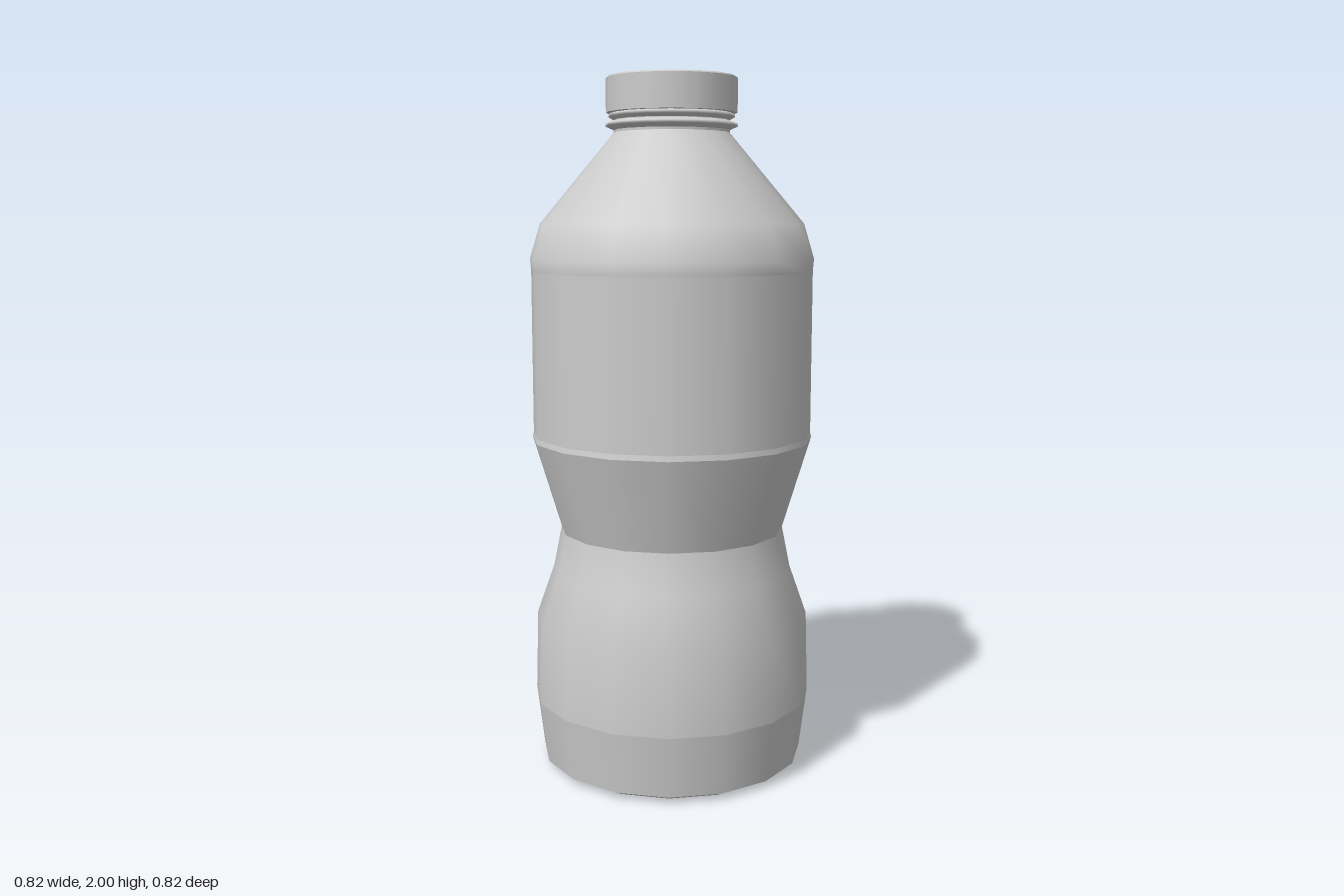
import * as THREE from 'three';

const SIDES = 16;

export function createModel() {
  const model = new THREE.Group();
  model.name = 'bottle';
  const material = new THREE.MeshStandardMaterial({ color: 0xcccccc });

  // Each section is a [radius, height] profile, smooth inside and creased where it meets the next.
  const section = (parent, name, profile) => {
    const points = profile.map(([r, y]) => new THREE.Vector2(r, y));
    const mesh = new THREE.Mesh(new THREE.LatheGeometry(points, SIDES), material);
    mesh.name = name;
    parent.add(mesh);
  };
  const group = (name) => {
    const g = new THREE.Group();
    g.name = name;
    model.add(g);
    return g;
  };

  // Body: base, pinched grip, label panel and sloping shoulder
  const body = group('body');
  section(body, 'base', [[0, 0], [0.35, 0]]);
  section(body, 'baseEdge', [[0.35, 0], [0.388, 0.02]]);
  section(body, 'foot', [[0.388, 0.02], [0.41, 0.2]]);
  section(body, 'lowerGrip', [[0.41, 0.2], [0.403, 0.435], [0.352, 0.58], [0.328, 0.7]]);
  section(body, 'upperGrip', [[0.328, 0.7], [0.41, 0.97]]);
  section(body, 'labelLowerLip', [[0.41, 0.97], [0.407, 0.985]]);
  section(body, 'labelPanel', [[0.407, 0.985], [0.407, 1.455]]);
  section(body, 'shoulder', [[0.407, 1.455], [0.41, 1.49], [0.38, 1.59], [0.165, 1.845]]);

  // Neck with its support ring
  const neck = group('neck');
  section(neck, 'neckWall', [[0.165, 1.845], [0.165, 1.905]]);
  section(neck, 'supportRing', [[0.165, 1.852], [0.188, 1.862], [0.188, 1.87], [0.165, 1.878]]);
  section(neck, 'sealBand', [[0.165, 1.88], [0.18, 1.888], [0.18, 1.896], [0.165, 1.9]]);

  // Screw cap
  const cap = group('cap');
  section(cap, 'capUnderside', [[0.16, 1.9], [0.187, 1.9]]);
  section(cap, 'capWall', [[0.187, 1.9], [0.187, 1.996]]);
  section(cap, 'capBevel', [[0.187, 1.996], [0.183, 2]]);
  section(cap, 'capTop', [[0.183, 2], [0, 2]]);

  return model;
}
